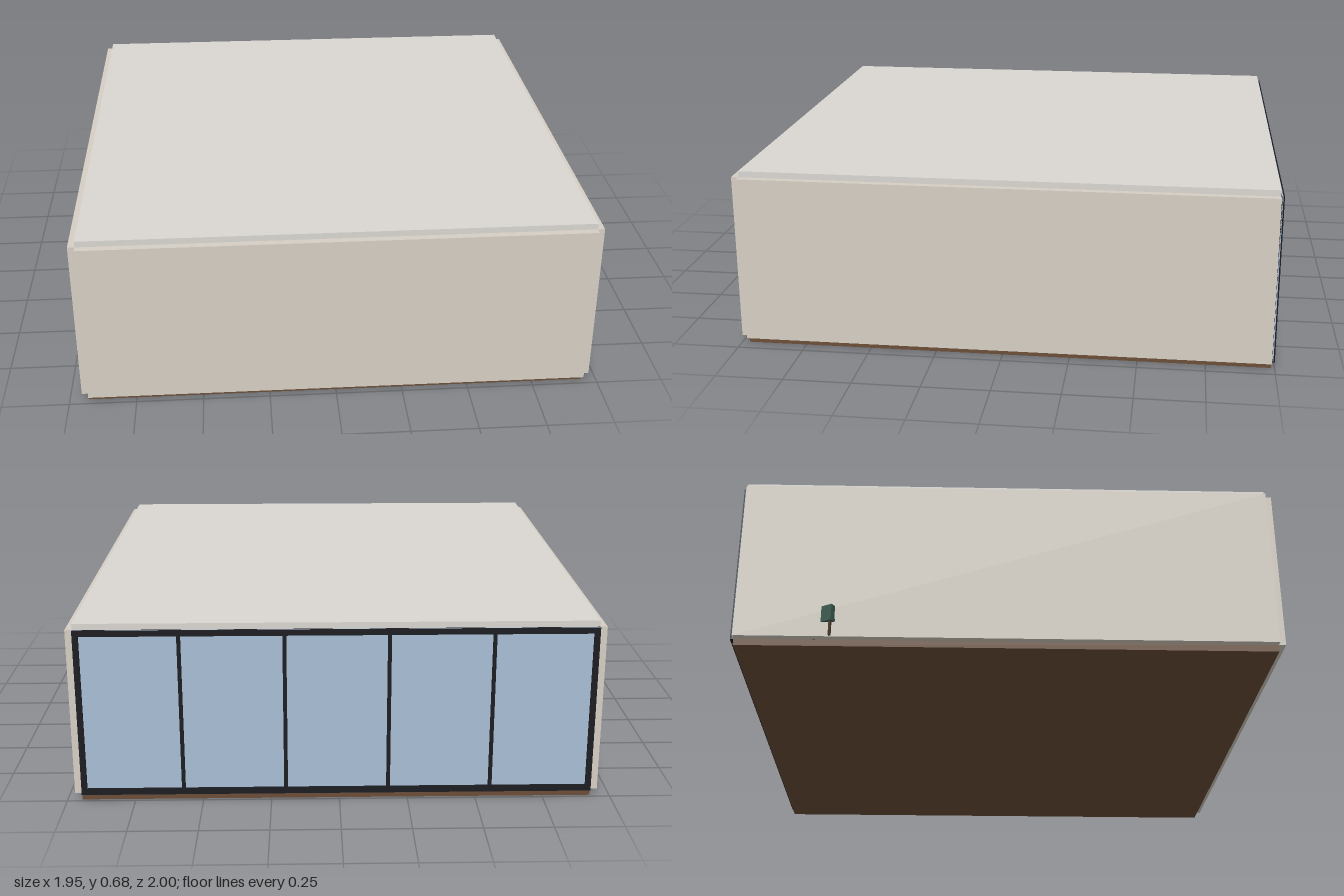
import * as THREE from 'three';

const material = (color) => new THREE.MeshStandardMaterial({ color });
const wallMat = material(0xd6cfc4);
const roofMat = material(0xdad7d2);
const floorMat = material(0x6b4e38);
const frameMat = material(0x1c1d21);
const glassMat = material(0xa9bfd6);
const seatMat = material(0x3d5c52);
const legMat = material(0x4a3a2c);

// Box given by its minimum and maximum corners
function slab(parent, name, mat, [x0, y0, z0], [x1, y1, z1]) {
  const mesh = new THREE.Mesh(new THREE.BoxGeometry(x1 - x0, y1 - y0, z1 - z0), mat);
  mesh.position.set((x0 + x1) / 2, (y0 + y1) / 2, (z0 + z1) / 2);
  mesh.name = name;
  parent.add(mesh);
  return mesh;
}

// Room limits: inner faces and outer faces
const L = -0.928, R = 0.946, B = -0.988, F = 0.973;
const Y0 = 0.026, Y1 = 0.655, TOP = 0.678, T = 0.026;

function windowWall() {
  const g = new THREE.Group();
  g.name = 'windowWall';
  const rail = 0.022, mullion = 0.014, panes = 5;
  slab(g, 'glass', glassMat, [L, Y0, -0.995], [R, Y1, -0.991]);
  slab(g, 'bottomRail', frameMat, [L, Y0 - 0.003, -1], [R, Y0 + rail, B]);
  slab(g, 'topRail', frameMat, [L, Y1 - rail, -1], [R, Y1, B]);
  // End posts and evenly spaced mullions
  for (let i = 0; i <= panes; i++) {
    const x = L + ((R - L) * i) / panes;
    const left = i === 0 ? L : i === panes ? R - rail : x - mullion / 2;
    const width = i === 0 || i === panes ? rail : mullion;
    slab(g, 'post', frameMat, [left, Y0 + rail, -1], [left + width, Y1 - rail, B]);
  }
  return g;
}

// Small chair whose back corner pokes through the side wall
function chair() {
  const g = new THREE.Group();
  g.name = 'chair';
  const w = 0.085, leg = 0.008, inset = 0.005;
  slab(g, 'chairSeat', seatMat, [0, 0.083, -w], [w, 0.095, 0]);
  slab(g, 'chairBack', seatMat, [0, 0.095, -w], [0.022, 0.146, 0]);
  for (const x of [inset, w - inset - leg])
    for (const z of [-inset - leg, inset - w])
      slab(g, 'chairLeg', legMat, [x, Y0, z], [x + leg, 0.083, z + leg]);
  g.position.set(-0.976, 0, -0.64);
  g.rotation.y = -Math.PI / 6;
  return g;
}

export function createModel() {
  const room = new THREE.Group();
  room.name = 'room';
  slab(room, 'floor', floorMat, [L, 0, B], [R, Y0, F]);
  slab(room, 'roof', roofMat, [L, Y1, B], [R, TOP, F]);
  slab(room, 'frontWall', wallMat, [L, Y0, F], [R, Y1, 1]);
  slab(room, 'rightWall', wallMat, [L - T, Y0, B], [L, Y1, F]);
  slab(room, 'leftWall', wallMat, [R, Y0, B], [R + T, Y1, F]);
  room.add(windowWall(), chair());
  return room;
}
